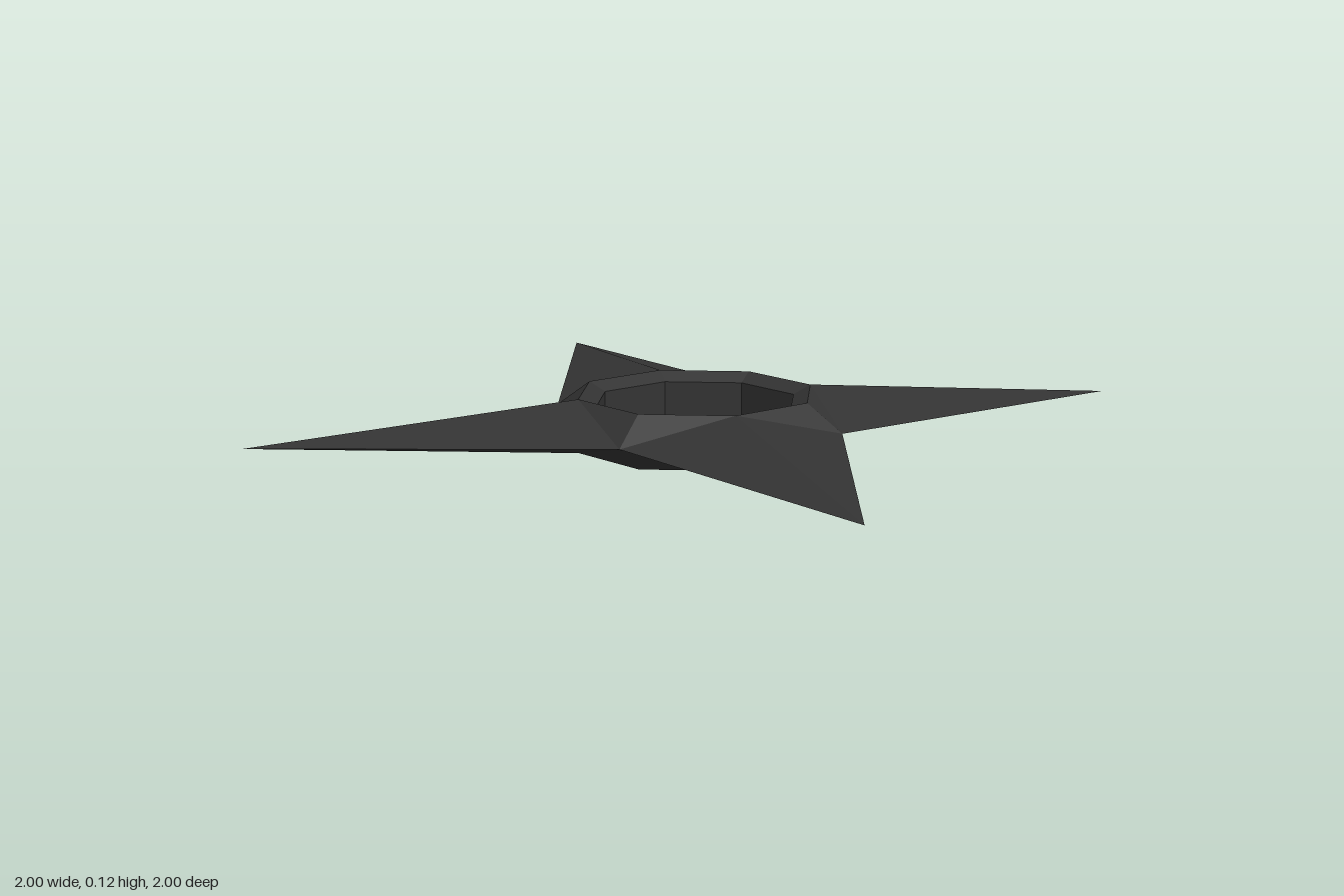
import * as THREE from 'three';

const MID = 0.06; // height of the cutting edge
const material = new THREE.MeshStandardMaterial({ color: 0x333333, flatShading: true });

// Builds an eighth of a part and mirrors it across z = 0 and the mid plane.
function mirrored(triangles) {
  const pos = [];
  for (const sy of [1, -1]) {
    for (const sz of [1, -1]) {
      for (const [a, b, c] of triangles) {
        const order = sy * sz > 0 ? [a, b, c] : [a, c, b];
        for (const p of order) pos.push(p[0], p[1] * sy, p[2] * sz);
      }
    }
  }
  const geometry = new THREE.BufferGeometry();
  geometry.setAttribute('position', new THREE.Float32BufferAttribute(pos, 3));
  geometry.computeVertexNormals();
  return geometry;
}

// Point on the diagonal at a given radius
const diagonal = (r, y) => [r * Math.SQRT1_2, y, r * Math.SQRT1_2];

export function createModel() {
  const model = new THREE.Group();
  model.name = 'throwingStar';

  const tip = [1, 0, 0];
  const corner = [0.25, 0, 0.25];
  const ridge = [0.27, 0.06, 0];
  const rimDiagonal = diagonal(0.27, 0.06);
  const hole = [0.23, 0.04, 0];
  const holeDiagonal = diagonal(0.23, 0.04);
  const holeMid = [0.23, 0, 0];
  const holeDiagonalMid = diagonal(0.23, 0);

  const bladeGeometry = mirrored([[tip, ridge, corner]]);
  const hubGeometry = mirrored([
    // slope between rim and notch
    [ridge, rimDiagonal, corner],
    // bevel into the hole
    [ridge, hole, holeDiagonal],
    [ridge, holeDiagonal, rimDiagonal],
    // hole wall
    [hole, holeMid, holeDiagonalMid],
    [hole, holeDiagonalMid, holeDiagonal],
  ]);

  // Four blades, each with its quarter of the octagonal hub
  for (let i = 0; i < 4; i++) {
    const parts = [['blade', bladeGeometry], ['hubQuarter', hubGeometry]];
    for (const [name, geometry] of parts) {
      const mesh = new THREE.Mesh(geometry, material);
      mesh.name = name + (i + 1);
      mesh.position.y = MID;
      mesh.rotation.y = (i * Math.PI) / 2;
      model.add(mesh);
    }
  }
  return model;
}
